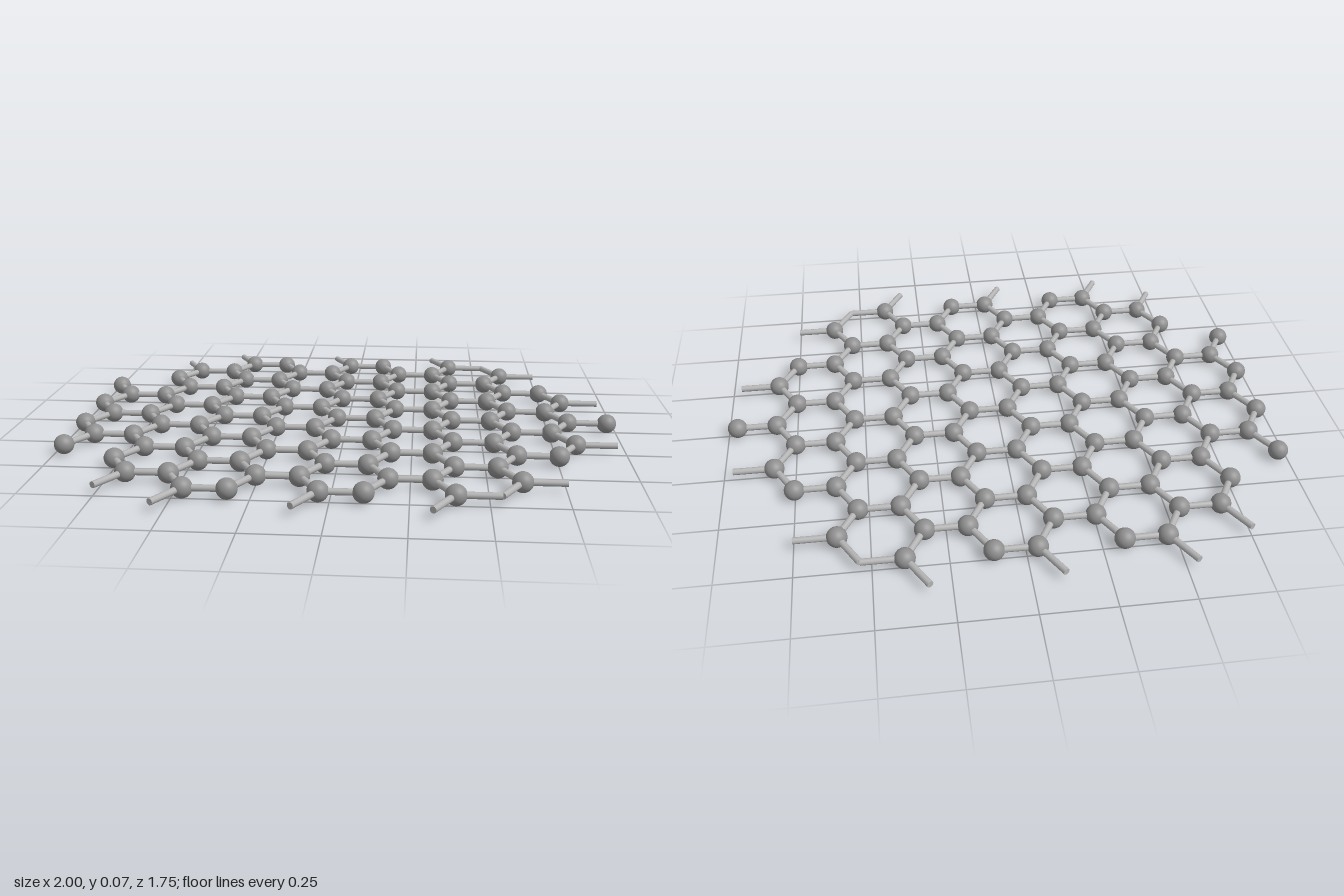
import * as THREE from 'three';

const BOND = 0.143;                       // distance between neighbouring atoms
const ROW = BOND * Math.sin(Math.PI / 3); // spacing of the lattice rows along z
const ATOM_R = 0.035;
const BOND_R = 0.0115;
const LEFT = -6.75 * BOND;                // x of the outermost atoms

export function createModel() {
  const group = new THREE.Group();
  group.name = 'hexagonalLattice';

  const atomMat = new THREE.MeshStandardMaterial({ color: 0x909090 });
  atomMat.name = 'atom grey';
  const bondMat = new THREE.MeshStandardMaterial({ color: 0xb4b4b4 });
  bondMat.name = 'bond light grey';

  const atomGeo = new THREE.SphereGeometry(ATOM_R, 24, 16);
  const bondGeo = new THREE.CylinderGeometry(BOND_R, BOND_R, BOND, 12);
  bondGeo.rotateZ(Math.PI / 2);           // lie along x
  bondGeo.translate(BOND / 2, 0, 0);      // start at the atom

  const addAtom = (x, z) => {
    const atom = new THREE.Mesh(atomGeo, atomMat);
    atom.name = 'atom';
    atom.position.set(x, ATOM_R, z);
    group.add(atom);
  };

  const addBond = (x, z, angle) => {
    const bond = new THREE.Mesh(bondGeo, bondMat);
    bond.name = 'bond';
    bond.position.set(x, ATOM_R, z);
    bond.rotation.y = angle;
    group.add(bond);
  };

  // Per row distance from the middle: [first, last] cell of each sublattice
  const hubCells = [[0, 4], [0, 3], [0, 4], [0, 3], [1, 3], [0, 3], [1, 3]];
  const linkCells = [[0, 4], [0, 4], [0, 3], [0, 4], [0, 3], [1, 3], [1, 2]];

  for (let row = -6; row <= 6; row++) {
    const n = Math.abs(row);
    const odd = n % 2 === 1;
    const z = row * ROW;

    // Hub atoms carry three bonds each; at the rim some end free
    for (let i = hubCells[n][0]; i <= hubCells[n][1]; i++) {
      const x = LEFT + BOND * (3 * i + (odd ? 2 : 0.5));
      addAtom(x, z);
      for (let k = 0; k < 3; k++) addBond(x, z, (k * Math.PI * 2) / 3);
    }

    // Link atoms sit at the far ends of the bonds
    for (let i = linkCells[n][0]; i <= linkCells[n][1]; i++) {
      addAtom(LEFT + BOND * (3 * i + (odd ? 0 : 1.5)), z);
    }
  }
  return group;
}
